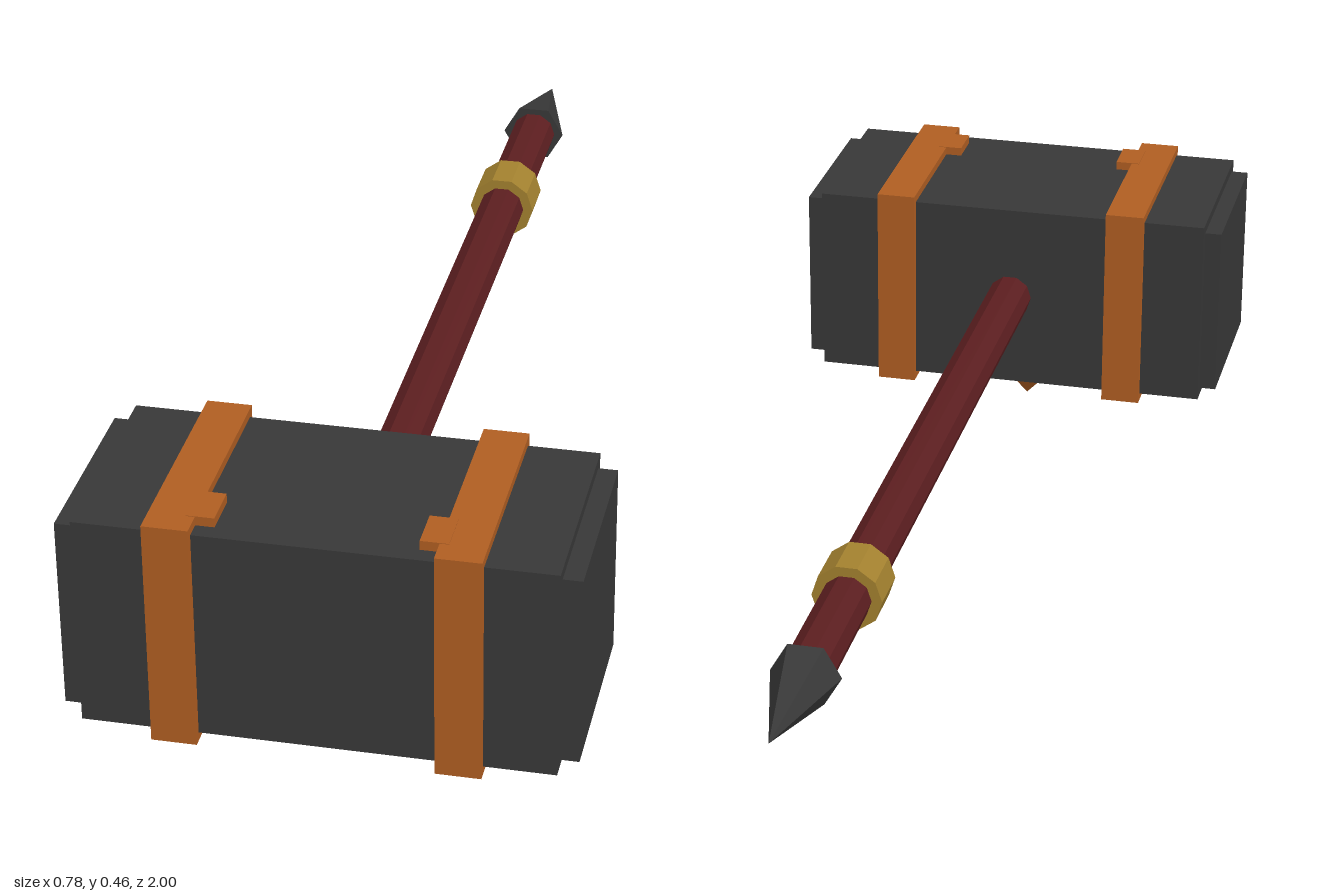
import * as THREE from 'three';

const mat = (name, color) => {
  const m = new THREE.MeshStandardMaterial({ color, flatShading: true });
  m.name = name;
  return m;
};

export function createModel() {
  const iron = mat('darkIron', 0x383838);
  const copper = mat('copper', 0xb05e22);
  const wood = mat('redWood', 0x5c1e20);
  const brass = mat('brass', 0xa3812f);

  const model = new THREE.Group();
  model.name = 'warHammer';
  const add = (name, geometry, material, x, y, z) => {
    const mesh = new THREE.Mesh(geometry, material);
    mesh.name = name;
    mesh.position.set(x, y, z);
    model.add(mesh);
    return mesh;
  };
  const box = (name, material, w, h, d, x, y, z) =>
    add(name, new THREE.BoxGeometry(w, h, d), material, x, y, z);

  // Faceted piece lying along z, from zFront back to zBack
  const shaftY = 0.277;
  const rod = (name, material, rBack, rFront, zFront, zBack, sides) => {
    const g = new THREE.CylinderGeometry(rBack, rFront, zFront - zBack, sides, 1, false, Math.PI / 2);
    g.rotateX(-Math.PI / 2);
    return add(name, g, material, 0, shaftY, (zFront + zBack) / 2);
  };

  // Head with its two striking faces
  const headY = 0.276, headZ = 0.815;
  box('head', iron, 0.72, 0.345, 0.345, 0, headY, headZ);
  for (const s of [1, -1]) {
    const side = s > 0 ? 'left' : 'right';
    box(side + 'StrikingFace', iron, 0.04, 0.312, 0.312, s * 0.37, headY, headZ);

    // Band around the head, with a small tab on top and underneath
    box(side + 'Band', copper, 0.07, 0.373, 0.37, s * 0.215, headY, headZ);
    for (const v of [1, -1]) {
      box(side + (v > 0 ? 'TopTab' : 'BottomTab'), copper,
        0.043, 0.03, 0.07, s * 0.1725, headY + v * 0.1725, 0.925);
    }
  }

  // Pointed stud under the head
  add('stud', new THREE.OctahedronGeometry(1), copper, 0, 0.088, headZ)
    .scale.set(0.086, 0.088, 0.115);

  // Handle, collar and spike
  rod('handle', wood, 0.04, 0.04, 0.66, -0.81, 10);
  rod('collar', brass, 0.057, 0.057, -0.47, -0.555, 10);
  rod('spike', iron, 0, 0.056, -0.795, -1, 6);

  return model;
}
